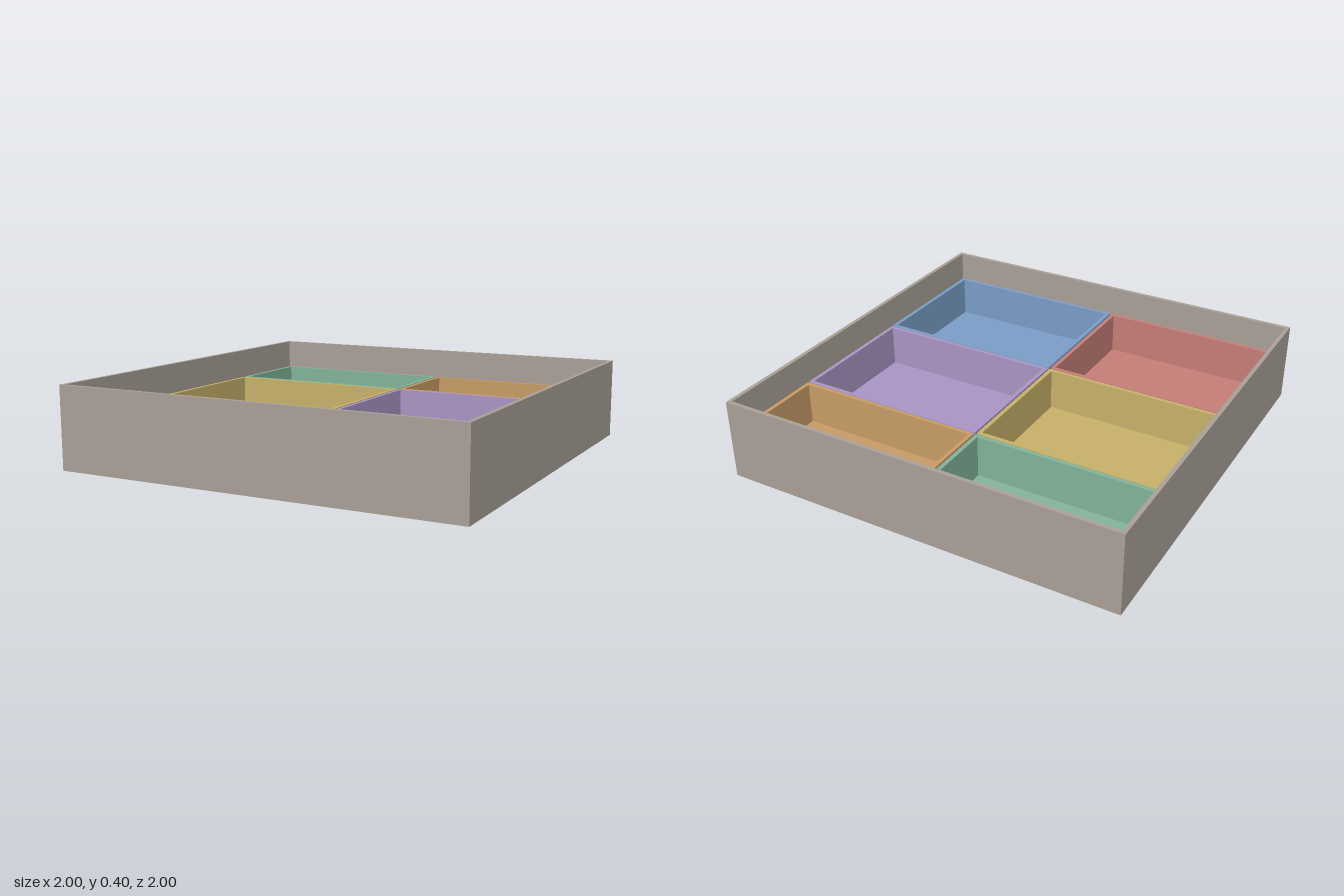
import * as THREE from 'three';

const paint = (name, color) => {
  const m = new THREE.MeshStandardMaterial({ color });
  m.name = name;
  return m;
};

// Rectangle outline with optional rounded corners
function rect(Type, w, d, r = 0) {
  const p = new Type(), x = w / 2, y = d / 2;
  p.moveTo(-x + r, -y);
  p.lineTo(x - r, -y);
  if (r) p.absarc(x - r, -y + r, r, -Math.PI / 2, 0);
  p.lineTo(x, y - r);
  if (r) p.absarc(x - r, y - r, r, 0, Math.PI / 2);
  p.lineTo(-x + r, y);
  if (r) p.absarc(-x + r, y - r, r, Math.PI / 2, Math.PI);
  p.lineTo(-x, -y + r);
  if (r) p.absarc(-x + r, -y + r, r, Math.PI, Math.PI * 1.5);
  return p;
}

// Open-topped container: a floor plate with a hollow wall ring on it
function openBox(name, w, h, d, wall, floor, material, r = 0) {
  const group = new THREE.Group();
  group.name = name;
  const add = (part, shape, depth, y) => {
    const geo = new THREE.ExtrudeGeometry(shape, { depth, bevelEnabled: false, curveSegments: 3 });
    geo.rotateX(-Math.PI / 2);
    const mesh = new THREE.Mesh(geo, material);
    mesh.name = name + part;
    mesh.position.y = y;
    group.add(mesh);
  };
  const ring = rect(THREE.Shape, w, d, r);
  ring.holes.push(rect(THREE.Path, w - 2 * wall, d - 2 * wall));
  add('Walls', ring, h, 0);
  add('Floor', rect(THREE.Shape, w - 2 * wall, d - 2 * wall), floor, 0);
  return group;
}

export function createModel() {
  const model = new THREE.Group();
  model.name = 'drawerOrganizer';

  // Outer drawer
  model.add(openBox('drawer', 2, 0.4, 2, 0.02, 0.02, paint('warmGrey', 0xa89f96)));

  // Six loose trays in two columns and three rows
  const columns = [[-0.975, -0.005], [0.005, 0.975]];
  const rows = [[-0.975, -0.47], [-0.465, 0.245], [0.25, 0.975]];
  const colours = [
    [['green', 0x82b298], ['orange', 0xc69a64]],
    [['yellow', 0xc5af69], ['purple', 0xa893c2]],
    [['red', 0xc47c76], ['blue', 0x7a9cc6]],
  ];
  rows.forEach(([z0, z1], i) => columns.forEach(([x0, x1], j) => {
    const [name, hex] = colours[i][j];
    const tray = openBox(name + 'Tray', x1 - x0, 0.23, z1 - z0, 0.02, 0.02, paint(name, hex), 0.008);
    tray.position.set((x0 + x1) / 2, 0.02, (z0 + z1) / 2);
    model.add(tray);
  }));
  return model;
}
